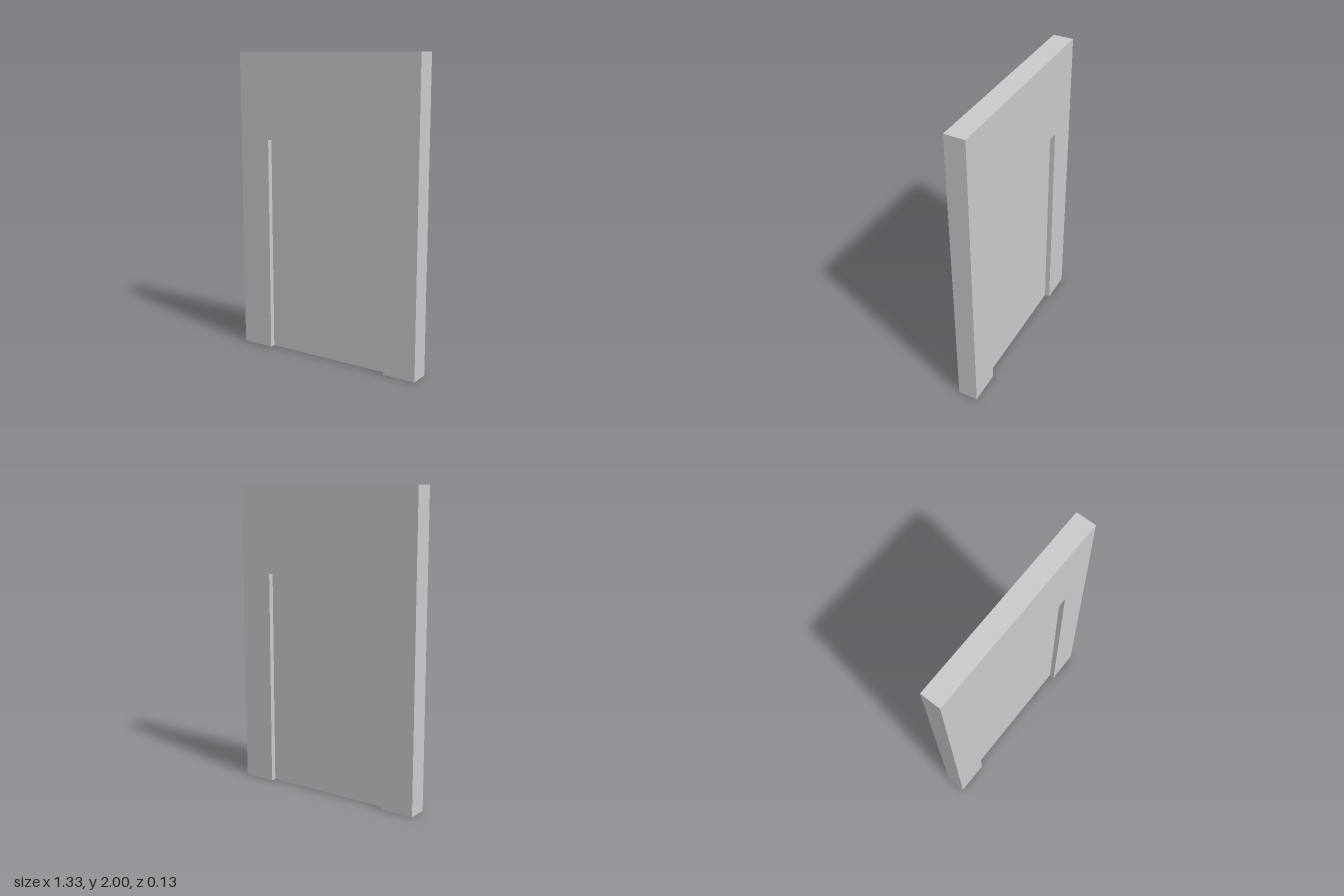
import * as THREE from 'three';

const WIDTH = 1.333, HEIGHT = 2, DEPTH = 0.133;
const DOOR_W = 0.886, DOOR_H = 1.43, RECESS = 0.035;

export function createModel() {
  const group = new THREE.Group();
  const material = new THREE.MeshStandardMaterial({ color: 0xcccccc, flatShading: true });
  const add = (name, geometry) => {
    const mesh = new THREE.Mesh(geometry, material);
    mesh.name = name;
    group.add(mesh);
    return mesh;
  };

  // Wall with a doorway open at the floor
  const w = WIDTH / 2, d = DOOR_W / 2;
  const outline = new THREE.Shape([
    [-w, 0], [-d, 0], [-d, DOOR_H], [d, DOOR_H], [d, 0], [w, 0], [w, HEIGHT], [-w, HEIGHT],
  ].map(([x, y]) => new THREE.Vector2(x, y)));
  const wall = new THREE.ExtrudeGeometry(outline, { depth: DEPTH, bevelEnabled: false });
  add('wall', wall.translate(0, 0, -DEPTH / 2));

  // Door panel, set back equally from both faces of the wall
  const panel = new THREE.BoxGeometry(DOOR_W, DOOR_H, DEPTH - 2 * RECESS);
  add('doorPanel', panel).position.y = DOOR_H / 2;

  return group;
}
